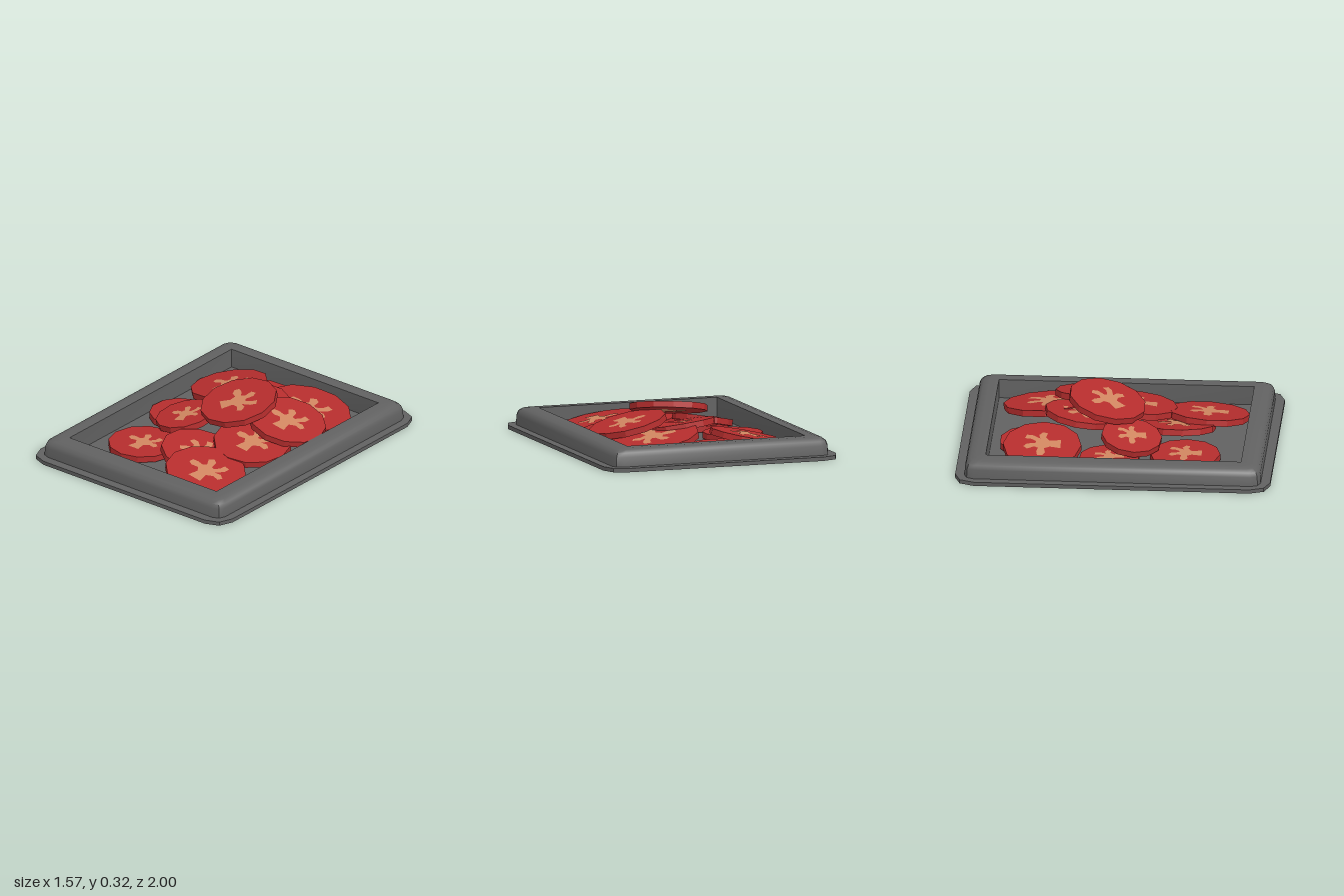
import * as THREE from 'three';
import { toCreasedNormals } from 'three/addons/utils/BufferGeometryUtils.js';

const trayGrey = new THREE.MeshStandardMaterial({ color: 0x616161, side: THREE.DoubleSide });
trayGrey.name = 'trayGrey';
const tomatoRed = new THREE.MeshStandardMaterial({ color: 0xb52d2d });
tomatoRed.name = 'tomatoRed';
const seedOrange = new THREE.MeshStandardMaterial({ color: 0xd08660 });
seedOrange.name = 'seedOrange';

// Rectangle with two-step bevelled corners, counter-clockwise seen from above
function ring([hx, hz, y, cut]) {
  const corner = [[0, cut], [cut * 0.28, cut * 0.28], [cut, 0]];
  const points = [];
  for (const [sx, sz, flip] of [[1, -1, 0], [-1, -1, 1], [-1, 1, 0], [1, 1, 1]]) {
    const steps = flip ? [...corner].reverse() : corner;
    for (const [dx, dz] of steps) points.push([sx * (hx - dx), y, sz * (hz - dz)]);
  }
  return points;
}

// Skin joining a list of rings
function loft(sections) {
  const rings = sections.map(ring);
  const pos = [];
  for (let i = 0; i < rings.length - 1; i++) {
    const lower = rings[i], upper = rings[i + 1], n = lower.length;
    for (let j = 0; j < n; j++) {
      const k = (j + 1) % n;
      pos.push(...lower[j], ...lower[k], ...upper[k], ...lower[j], ...upper[k], ...upper[j]);
    }
  }
  const geo = new THREE.BufferGeometry();
  geo.setAttribute('position', new THREE.Float32BufferAttribute(pos, 3));
  geo.computeVertexNormals();
  return toCreasedNormals(geo, 0.75);
}

function mesh(name, geo, material) {
  const m = new THREE.Mesh(geo, material);
  m.name = name;
  return m;
}

// Hollow tray: flange, rounded rim, inner walls and floor
function makeTray() {
  const tray = new THREE.Group();
  tray.name = 'tray';
  tray.add(mesh('flange', loft([
    [0.73, 0.94, 0, 0.06], [0.785, 1, 0, 0.125], [0.785, 1, 0.025, 0.125], [0.73, 0.94, 0.025, 0.06],
  ]), trayGrey));
  tray.add(mesh('rim', loft([
    [0.73, 0.94, 0.025, 0.06], [0.727, 0.937, 0.085, 0.06], [0.718, 0.928, 0.112, 0.06],
    [0.695, 0.905, 0.13, 0.055], [0.66, 0.87, 0.137, 0.05], [0.6, 0.81, 0.137, 0.0002],
  ]), trayGrey));
  tray.add(mesh('innerWalls', loft([
    [0.6, 0.81, 0.137, 0.0002], [0.6, 0.81, 0.012, 0.0002],
  ]), trayGrey));
  const floor = mesh('floor', new THREE.PlaneGeometry(1.2, 1.62).rotateX(-Math.PI / 2), trayGrey);
  floor.position.y = 0.012;
  tray.add(floor);
  return tray;
}

// Branching seed pocket for a slice of radius 1, stem towards +z
const pocket = new THREE.Shape([
  [-0.17, 0.48], [-0.11, 0.2], [-0.2, 0.06], [-0.38, 0.1], [-0.51, 0.03], [-0.5, -0.1],
  [-0.36, -0.13], [-0.18, -0.1], [-0.12, -0.2], [-0.23, -0.38], [-0.12, -0.48], [0, -0.4],
  [0.04, -0.18], [0.12, -0.16], [0.22, -0.3], [0.24, -0.46], [0.4, -0.42], [0.38, -0.26],
  [0.24, -0.06], [0.4, -0.1], [0.53, 0], [0.48, 0.12], [0.3, 0.08], [0.15, 0.18], [0.2, 0.48],
].map(([x, z]) => new THREE.Vector2(x, -z)));

const THICK = 0.04;

// One slice, tilted by its rise along x and z
function makeSlice([x, y, z, r, riseX, riseZ, yaw]) {
  const slice = new THREE.Group();
  slice.name = 'tomatoSlice';
  const disc = new THREE.CylinderGeometry(r * 1.015, r * 1.015, THICK, 12).toNonIndexed();
  disc.computeVertexNormals();
  slice.add(mesh('sliceBody', disc, tomatoRed));
  for (const side of [1, -1]) {
    const geo = new THREE.ShapeGeometry(pocket).scale(r, r, 1).rotateX(-side * Math.PI / 2);
    const seeds = mesh('seedPocket', geo, seedOrange);
    seeds.position.y = side * (THICK / 2 + 0.002);
    slice.add(seeds);
  }
  const up = new THREE.Vector3(0, 1, 0);
  const normal = new THREE.Vector3(-riseX, 1, -riseZ).normalize();
  slice.quaternion.setFromUnitVectors(up, normal)
    .multiply(new THREE.Quaternion().setFromAxisAngle(up, yaw));
  slice.position.set(x, y, z);
  return slice;
}

// x, y, z, radius, rise along x, rise along z, yaw
const SLICES = [
  [-0.34, 0.09, -0.47, 0.245, 0.2, 0, 0],
  [-0.16, 0.04, -0.52, 0.23, 0, 0, 0.3],
  [0.29, 0.115, -0.475, 0.28, -0.18, 0.08, 0],
  [0.05, 0.15, -0.24, 0.24, -0.12, -0.15, 0.4],
  [0.365, 0.168, -0.185, 0.245, -0.24, 0, 0.1],
  [0.055, 0.245, -0.085, 0.245, 0.1, -0.23, -0.75],
  [-0.395, 0.038, -0.04, 0.19, 0, 0, 0.2],
  [-0.238, 0.125, 0.09, 0.19, 0.18, -0.13, 0.15],
  [0.31, 0.11, 0.095, 0.245, -0.12, -0.1, 0],
  [-0.305, 0.038, 0.435, 0.22, 0, 0, 0],
  [0.085, 0.075, 0.365, 0.235, -0.22, 0, 0.7],
  [0.295, 0.072, 0.545, 0.255, -0.18, -0.06, 0],
];

export function createModel() {
  const model = new THREE.Group();
  model.name = 'tomatoTray';
  model.add(makeTray());
  const slices = new THREE.Group();
  slices.name = 'tomatoSlices';
  for (const s of SLICES) slices.add(makeSlice(s));
  model.add(slices);
  return model;
}
